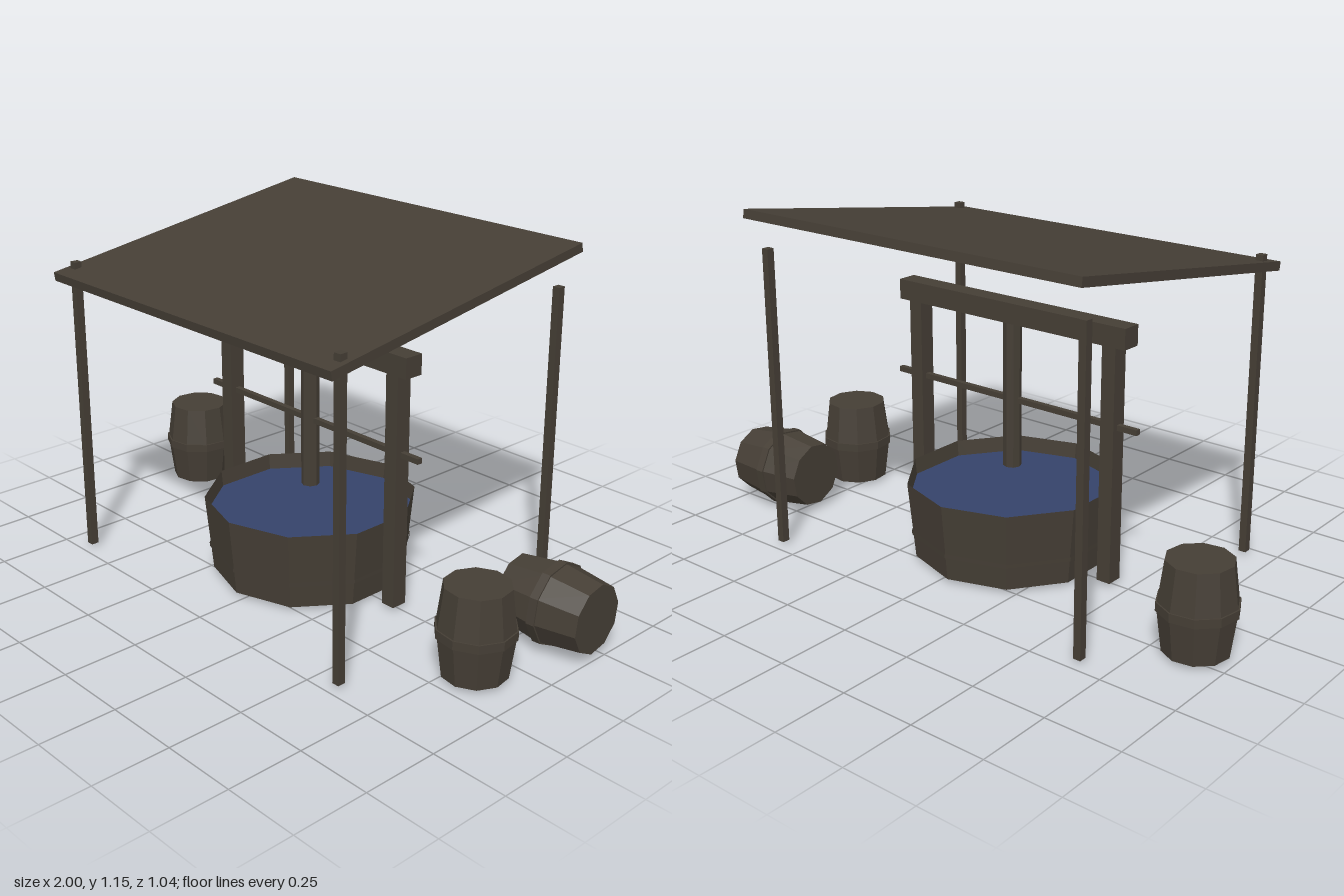
import * as THREE from 'three';

const CX = -0.03; // the well and its shelter sit slightly off centre

export function createModel() {
  const model = new THREE.Group();
  model.name = 'coveredWell';

  const wood = new THREE.MeshStandardMaterial({ color: 0x453e35, flatShading: true });
  wood.name = 'weathered wood';
  const openWood = new THREE.MeshStandardMaterial({ color: 0x453e35, flatShading: true, side: THREE.DoubleSide });
  openWood.name = 'weathered wood, open shell';
  const blue = new THREE.MeshStandardMaterial({ color: 0x35436a, flatShading: true });
  blue.name = 'water blue';

  function add(parent, name, geometry, material, x, y, z) {
    const mesh = new THREE.Mesh(geometry, material);
    mesh.name = name;
    mesh.position.set(x, y, z);
    parent.add(mesh);
    return mesh;
  }
  const box = (name, w, h, d, x, y, z) =>
    add(model, name, new THREE.BoxGeometry(w, h, d), wood, x, y, z);

  // Sloping roof on four thin poles
  const roof = box('roof', 1.3, 0.029, 1.052, CX, 1.056, 0);
  roof.rotation.x = 0.154;
  for (const sx of [-1, 1]) {
    for (const sz of [-1, 1]) {
      box('roofPole', 0.025, 1.005, 0.026, CX + sx * 0.618, 0.5175, sz * 0.457);
    }
    // Upright of the winding frame
    box('framePost', 0.049, 0.782, 0.055, CX + sx * 0.392, 0.406, 0);
  }

  // Winding frame
  box('crossBeam', 0.909, 0.067, 0.067, CX, 0.8285, 0);
  box('crankRod', 0.977, 0.018, 0.018, CX, 0.535, 0);
  add(model, 'hangingShaft', new THREE.CylinderGeometry(0.03, 0.03, 0.49, 8), wood, CX, 0.55, 0);

  // Ten-sided tub, open at the top
  const tub = new THREE.Group();
  tub.name = 'tub';
  tub.position.x = CX;
  model.add(tub);
  add(tub, 'tubWall', new THREE.CylinderGeometry(0.35, 0.325, 0.258, 10, 1, true), openWood, 0, 0.144, 0);
  add(tub, 'tubBottom', new THREE.CircleGeometry(0.325, 10, Math.PI / 2), openWood, 0, 0.015, 0)
    .rotation.x = Math.PI / 2;
  add(tub, 'tubHoop', new THREE.CylinderGeometry(0.338, 0.337, 0.014, 10, 1, true), openWood, 0, 0.1, 0);
  const water = add(tub, 'water', new THREE.CircleGeometry(0.344, 10, Math.PI / 2), blue, 0, 0.22, 0);
  water.rotation.x = -Math.PI / 2;

  // Barrel: two mirrored tapers with a hoop round the belly
  function barrel(name, x, y, z, turn) {
    const group = new THREE.Group();
    group.name = name;
    group.position.set(x, y, z);
    const profile = [[0, -0.144], [0.103, -0.144], [0.122, 0], [0.103, 0.144], [0, 0.144]]
      .map(([r, h]) => new THREE.Vector2(r, h));
    add(group, 'barrelBody', new THREE.LatheGeometry(profile, 10, turn), wood, 0, 0, 0);
    add(group, 'barrelHoop', new THREE.CylinderGeometry(0.125, 0.125, 0.028, 10, 1, false, turn), wood, 0, 0, 0);
    model.add(group);
    return group;
  }
  const tilt = Math.PI / 20;
  barrel('rightBarrel', -0.877, 0.16, -0.203, -tilt);
  barrel('leftBarrel', 0.813, 0.16, 0.125, tilt);

  // Larger barrel lying on its side
  const lying = barrel('lyingBarrel', 0.85, 0.137, -0.198, tilt);
  lying.rotation.set(0, 0.05, -Math.PI / 2);
  lying.scale.set(1.08, 1.01, 1.08);

  return model;
}
